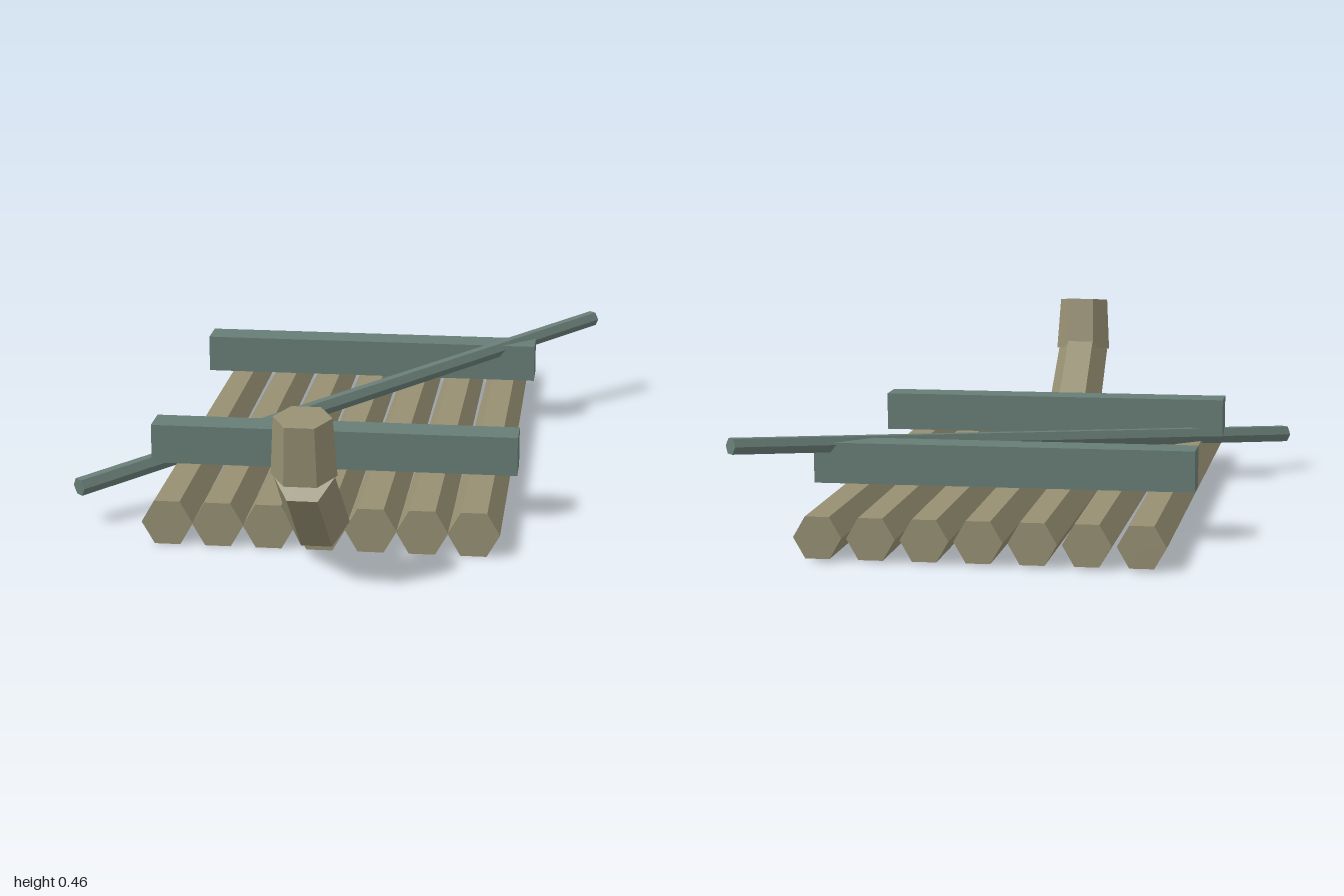
import * as THREE from 'three';

const wood = new THREE.MeshStandardMaterial({ color: 0x968f72, flatShading: true });
wood.name = 'paleWood';
const teal = new THREE.MeshStandardMaterial({ color: 0x687d76, flatShading: true });
teal.name = 'greyTealWood';

// Six-sided tapered rod from a to b, with one pair of corners kept level
function rod(name, a, b, ra, rb, material) {
  const start = new THREE.Vector3(...a), end = new THREE.Vector3(...b);
  const geometry = new THREE.CylinderGeometry(rb, ra, start.distanceTo(end), 6, 1, false, Math.PI / 2);
  geometry.rotateX(Math.PI / 2);
  const mesh = new THREE.Mesh(geometry, material);
  mesh.name = name;
  mesh.position.copy(start).add(end).multiplyScalar(0.5);
  mesh.lookAt(end);
  return mesh;
}

export function createModel() {
  const raft = new THREE.Group();
  raft.name = 'raft';

  // Deck of seven logs, slightly thinner at the back
  const deck = new THREE.Group();
  deck.name = 'deck';
  for (let i = -3; i <= 3; i++) {
    const x = i * 0.132;
    deck.add(rod('log', [x, 0.061, -1], [x, 0.061, 0.64], 0.06, 0.067, wood));
  }
  raft.add(deck);

  // Two square beams across the deck
  for (const [name, z] of [['frontBeam', 0.315], ['backBeam', -0.59]]) {
    const beam = new THREE.Mesh(new THREE.BoxGeometry(0.98, 0.105, 0.095), teal);
    beam.name = name;
    beam.position.set(0, 0.183, z);
    raft.add(beam);
  }

  // Long pole laid diagonally over the beams
  raft.add(rod('pole', [-0.655, 0.105, 0.515], [0.655, 0.253, -0.835], 0.025, 0.023, teal));

  // Bent prow
  const prow = new THREE.Group();
  prow.name = 'prow';
  prow.add(rod('lowerProw', [0, 0.088, 0.652], [0, 0.295, 0.917], 0.08, 0.076, wood));
  prow.add(rod('upperProw', [0, 0.299, 0.918], [0, 0.45, 0.938], 0.082, 0.073, wood));
  raft.add(prow);

  return raft;
}
